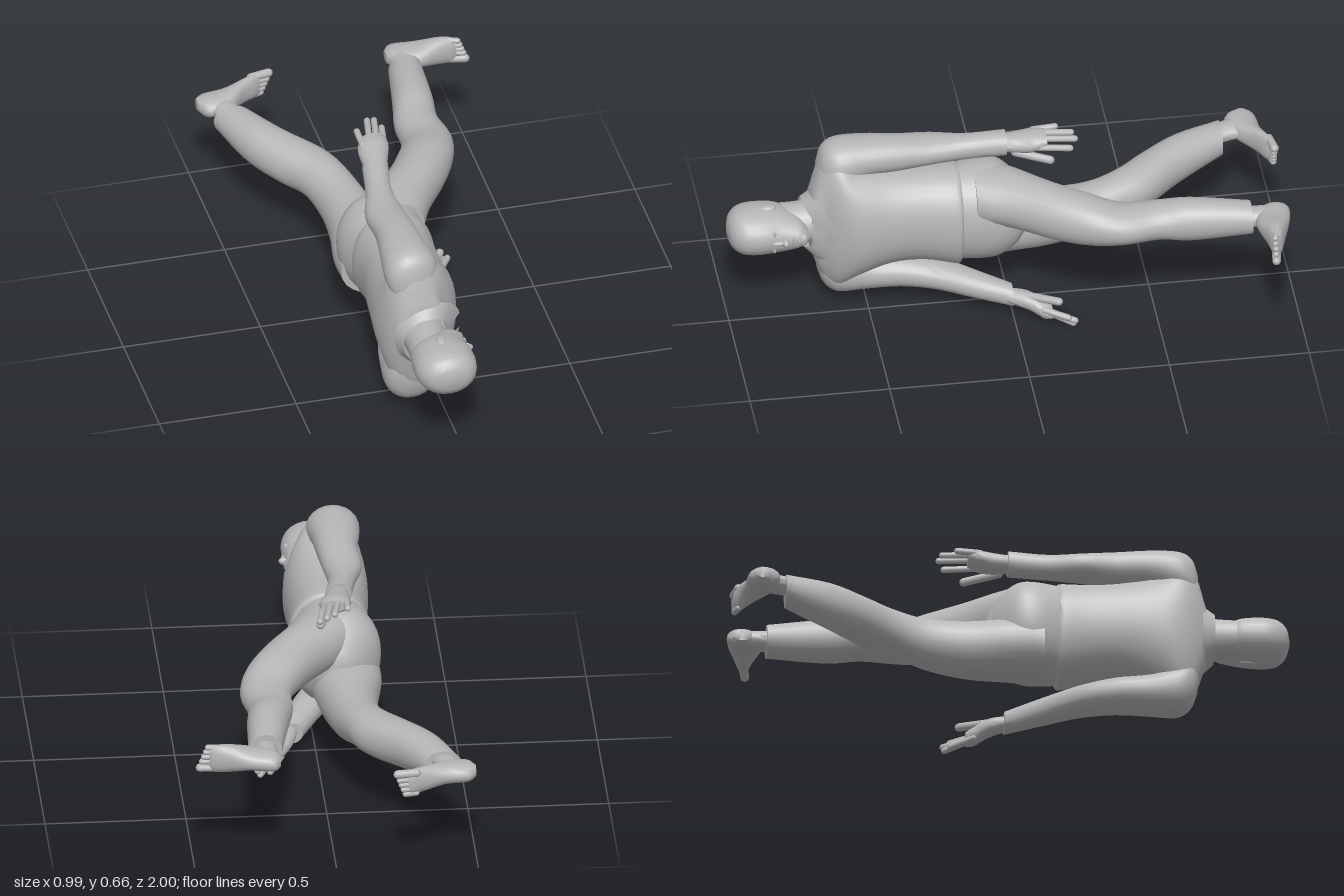
import * as THREE from 'three';
import { toCreasedNormals } from 'three/addons/utils/BufferGeometryUtils.js';

const grey = new THREE.MeshStandardMaterial({ color: 0xb6b6b6, side: THREE.DoubleSide });
grey.name = 'grey';

// Smooth skin through oval sections [w, uMin, uMax, vMin, vMax].
// Along z: u = x, v = y. Along x: u = y, v = z.
function loft(sections, axis = 'z', square = 1, sides = 24) {
  const s = [...sections].sort((a, b) => a[0] - b[0]);
  const spline = (k) => new THREE.CatmullRomCurve3(
    s.map((r) => new THREE.Vector3(r[0], r[k], r[k + 1])), false, 'catmullrom', 0.5);
  const us = spline(1), vs = spline(3);
  const steps = (s.length - 1) * 4;
  const pos = [], idx = [];
  const put = (u, v, w) => (axis === 'z' ? pos.push(u, v, w) : pos.push(w, u, v));
  const bend = (c) => Math.sign(c) * Math.abs(c) ** square;
  const mids = [];
  for (let i = 0; i <= steps; i++) {
    const U = us.getPoint(i / steps), V = vs.getPoint(i / steps);
    const cu = (U.y + U.z) / 2, cv = (V.y + V.z) / 2;
    mids.push([cu, cv, U.x]);
    for (let j = 0; j < sides; j++) {
      const a = (j / sides) * Math.PI * 2;
      put(cu + bend(Math.cos(a)) * (U.z - U.y) / 2, cv + bend(Math.sin(a)) * (V.z - V.y) / 2, U.x);
    }
  }
  for (let i = 0; i < steps; i++) {
    for (let j = 0; j < sides; j++) {
      const k = (j + 1) % sides;
      const a = i * sides + j, b = i * sides + k, c = b + sides, d = a + sides;
      idx.push(a, b, c, a, c, d);
    }
  }
  const start = pos.length / 3;
  put(...mids[0]);
  put(...mids[steps]);
  for (let j = 0; j < sides; j++) {
    const k = (j + 1) % sides;
    idx.push(start, k, j, start + 1, steps * sides + j, steps * sides + k);
  }
  const g = new THREE.BufferGeometry();
  g.setAttribute('position', new THREE.Float32BufferAttribute(pos, 3));
  g.setIndex(idx);
  return toCreasedNormals(g, 0.9);
}

// Shirt collar: flared band, open at the throat, with two points
function collarGeometry() {
  const pos = [], idx = [], n = 36;
  for (let i = 0; i <= n; i++) {
    const a = 0.22 + (i / n) * (Math.PI * 2 - 0.44);
    const f = Math.max(0, Math.cos(a)) ** 2;
    pos.push(-0.078 + 0.09 * Math.cos(a), 0.345 + 0.092 * Math.sin(a), 0.73 - 0.045 * f);
    pos.push(-0.06 + 0.128 * Math.cos(a), 0.345 + 0.13 * Math.sin(a), 0.685 - 0.065 * f);
    if (i < n) idx.push(2 * i, 2 * i + 1, 2 * i + 3, 2 * i, 2 * i + 3, 2 * i + 2);
  }
  const g = new THREE.BufferGeometry();
  g.setAttribute('position', new THREE.Float32BufferAttribute(pos, 3));
  g.setIndex(idx);
  g.computeVertexNormals();
  return g;
}

export function createModel() {
  const model = new THREE.Group();
  const add = (name, geometry) => {
    const m = new THREE.Mesh(geometry, grey);
    m.name = name;
    model.add(m);
    return m;
  };
  const blob = (name, p, scale) => {
    const m = add(name, new THREE.SphereGeometry(1, 16, 12));
    m.position.set(...p);
    m.scale.set(...scale);
  };
  const digit = (name, from, to, r) => {
    const a = new THREE.Vector3(...from), b = new THREE.Vector3(...to);
    const m = add(name, new THREE.CapsuleGeometry(r, a.distanceTo(b), 5, 10));
    m.position.copy(a).add(b).multiplyScalar(0.5);
    m.quaternion.setFromUnitVectors(new THREE.Vector3(0, 1, 0), b.sub(a).normalize());
  };

  // Head and neck, face towards +x
  add('head', loft([
    [1.0, -0.075, -0.045, 0.335, 0.365], [0.988, -0.125, 0.005, 0.298, 0.4],
    [0.96, -0.155, 0.036, 0.272, 0.425], [0.92, -0.17, 0.05, 0.264, 0.433],
    [0.87, -0.17, 0.052, 0.264, 0.433], [0.82, -0.165, 0.046, 0.268, 0.426],
    [0.78, -0.14, 0.047, 0.28, 0.412], [0.745, -0.09, 0.045, 0.297, 0.397],
    [0.72, -0.05, 0.03, 0.32, 0.37]], 'z', 0.96));
  add('neck', loft([[0.84, -0.162, -0.01, 0.28, 0.413], [0.74, -0.158, -0.01, 0.272, 0.418],
    [0.64, -0.165, 0, 0.265, 0.425]]));
  blob('nose', [0.045, 0.347, 0.803], [0.022, 0.015, 0.013]);
  blob('noseBridge', [0.043, 0.347, 0.825], [0.013, 0.009, 0.033]);
  blob('upperLip', [0.042, 0.347, 0.775], [0.009, 0.024, 0.005]);
  blob('lowerLip', [0.041, 0.347, 0.765], [0.009, 0.02, 0.006]);
  blob('chin', [0.034, 0.347, 0.738], [0.014, 0.024, 0.016]);
  for (const side of [-1, 1]) {
    blob('eye', [0.036, 0.347 + side * 0.034, 0.842], [0.009, 0.013, 0.006]);
    blob('ear', [-0.063, 0.348 + side * 0.08, 0.853], [0.019, 0.012, 0.031]);
  }

  // Shirt body and collar
  add('shirt', loft([
    [0.17, -0.205, 0.075, 0.158, 0.53], [0.19, -0.213, 0.084, 0.15, 0.535],
    [0.3, -0.208, 0.073, 0.175, 0.535], [0.42, -0.22, 0.073, 0.17, 0.545],
    [0.54, -0.228, 0.074, 0.12, 0.58], [0.61, -0.217, 0.04, 0.07, 0.63],
    [0.66, -0.195, 0.0, 0.115, 0.59], [0.7, -0.165, -0.005, 0.235, 0.46]], 'z', 0.92, 32));
  add('collar', collarGeometry());

  // Sleeves: the left arm hangs by the hip, the right one swings forward
  add('leftSleeve', loft([
    [0.67, -0.15, -0.07, 0.47, 0.58], [0.648, -0.185, -0.035, 0.46, 0.635],
    [0.6, -0.203, -0.012, 0.48, 0.66], [0.5, -0.195, -0.025, 0.52, 0.66],
    [0.38, -0.18, -0.035, 0.53, 0.652], [0.26, -0.185, -0.047, 0.54, 0.638],
    [0.14, -0.152, -0.055, 0.55, 0.638], [0, -0.128, -0.033, 0.567, 0.657]], 'z', 0.93));
  add('rightSleeve', loft([
    [0.67, -0.15, -0.07, 0.12, 0.23], [0.648, -0.185, -0.035, 0.065, 0.24],
    [0.6, -0.203, -0.012, 0.035, 0.22], [0.5, -0.192, -0.015, 0.04, 0.18],
    [0.38, -0.17, -0.005, 0.048, 0.17], [0.26, -0.125, 0.03, 0.05, 0.155],
    [0.14, -0.04, 0.085, 0.045, 0.14], [0, 0.045, 0.13, 0.03, 0.11]], 'z', 0.93));

  // Hands
  add('leftPalm', loft([[0.03, -0.115, -0.045, 0.585, 0.64], [-0.05, -0.12, -0.02, 0.58, 0.652],
    [-0.1, -0.118, -0.005, 0.592, 0.662], [-0.14, -0.1, -0.01, 0.615, 0.66]]));
  add('rightPalm', loft([[0.03, 0.06, 0.12, 0.05, 0.1], [-0.05, 0.08, 0.165, 0.033, 0.098],
    [-0.1, 0.115, 0.198, 0.014, 0.08], [-0.13, 0.14, 0.2, 0.016, 0.065]]));
  const fingers = {
    left: [
      [[-0.1, 0.643, -0.1], [-0.1, 0.648, -0.18]], [[-0.072, 0.648, -0.11], [-0.05, 0.652, -0.23]],
      [[-0.045, 0.64, -0.11], [-0.022, 0.643, -0.24]], [[-0.018, 0.62, -0.11], [0.001, 0.62, -0.22]],
      [[-0.045, 0.59, -0.03], [-0.006, 0.571, -0.15]]],
    right: [
      [[0.13, 0.03, -0.1], [0.175, 0.012, -0.18]], [[0.15, 0.035, -0.1], [0.212, 0.013, -0.2]],
      [[0.17, 0.045, -0.1], [0.222, 0.03, -0.205]], [[0.185, 0.06, -0.1], [0.23, 0.05, -0.18]],
      [[0.115, 0.085, -0.03], [0.195, 0.098, -0.15]]],
  };
  for (const [side, list] of Object.entries(fingers)) {
    list.forEach(([a, b], i) => digit(side + (i === 4 ? 'Thumb' : 'Finger'), a, b, i === 4 ? 0.015 : 0.0118));
  }

  // Trousers: left leg strides forward, right leg trails
  add('trouserSeat', loft([
    [0.21, -0.195, 0.065, 0.168, 0.522], [0.1, -0.235, 0.078, 0.157, 0.53],
    [0.03, -0.23, 0.08, 0.17, 0.525], [-0.03, -0.185, 0.06, 0.22, 0.48],
    [-0.08, -0.12, 0.0, 0.3, 0.4]], 'z', 0.92, 32));
  add('leftTrouserLeg', loft([
    [0.12, -0.2, 0.07, 0.33, 0.525], [0, -0.14, 0.125, 0.33, 0.53],
    [-0.15, -0.01, 0.22, 0.33, 0.525], [-0.27, 0.065, 0.278, 0.34, 0.512],
    [-0.38, 0.115, 0.298, 0.355, 0.487], [-0.5, 0.12, 0.28, 0.355, 0.485],
    [-0.62, 0.145, 0.293, 0.348, 0.503], [-0.83, 0.185, 0.305, 0.37, 0.488]], 'z', 0.95));
  add('rightTrouserLeg', loft([
    [0.12, -0.235, 0.05, 0.158, 0.37], [0, -0.235, 0.02, 0.155, 0.37],
    [-0.15, -0.21, -0.005, 0.157, 0.36], [-0.3, -0.21, -0.035, 0.18, 0.36],
    [-0.42, -0.248, -0.07, 0.215, 0.375], [-0.52, -0.325, -0.11, 0.22, 0.385],
    [-0.65, -0.4, -0.22, 0.235, 0.395], [-0.815, -0.457, -0.32, 0.275, 0.388]], 'z', 0.95));

  // Bare ankles and feet
  add('leftAnkle', loft([[-0.78, 0.205, 0.28, 0.395, 0.465], [-0.86, 0.202, 0.29, 0.395, 0.465],
    [-0.92, 0.205, 0.3, 0.4, 0.465]]));
  add('rightAnkle', loft([[-0.76, -0.42, -0.33, 0.315, 0.375], [-0.84, -0.45, -0.355, 0.318, 0.382],
    [-0.91, -0.47, -0.36, 0.325, 0.38]]));
  add('leftFoot', loft([
    [0.198, 0.41, 0.45, -0.945, -0.89], [0.225, 0.397, 0.465, -0.97, -0.86],
    [0.3, 0.397, 0.472, -0.96, -0.84], [0.38, 0.386, 0.489, -0.935, -0.862],
    [0.43, 0.385, 0.487, -0.918, -0.873], [0.448, 0.392, 0.478, -0.906, -0.88]], 'x', 0.9));
  add('rightFoot', loft([
    [-0.496, 0.335, 0.375, -0.925, -0.88], [-0.465, 0.318, 0.385, -0.95, -0.84],
    [-0.39, 0.316, 0.39, -0.957, -0.85], [-0.32, 0.308, 0.4, -0.972, -0.915],
    [-0.268, 0.306, 0.402, -0.99, -0.948], [-0.25, 0.315, 0.395, -0.988, -0.962]], 'x', 0.9));
  for (let i = 0; i < 5; i++) {
    const r = i === 0 ? 0.0155 : 0.0112;
    const back = i * 0.007, off = i === 0 ? 0 : 0.006 + i * 0.018;
    digit('leftToe', [0.42, 0.4 + off, -0.895], [0.481 - back, 0.397 + off, -0.886], r);
    digit('rightToe', [-0.28, 0.388 - off, -0.972], [-0.213 - back, 0.39 - off, -0.983], r);
  }
  return model;
}
